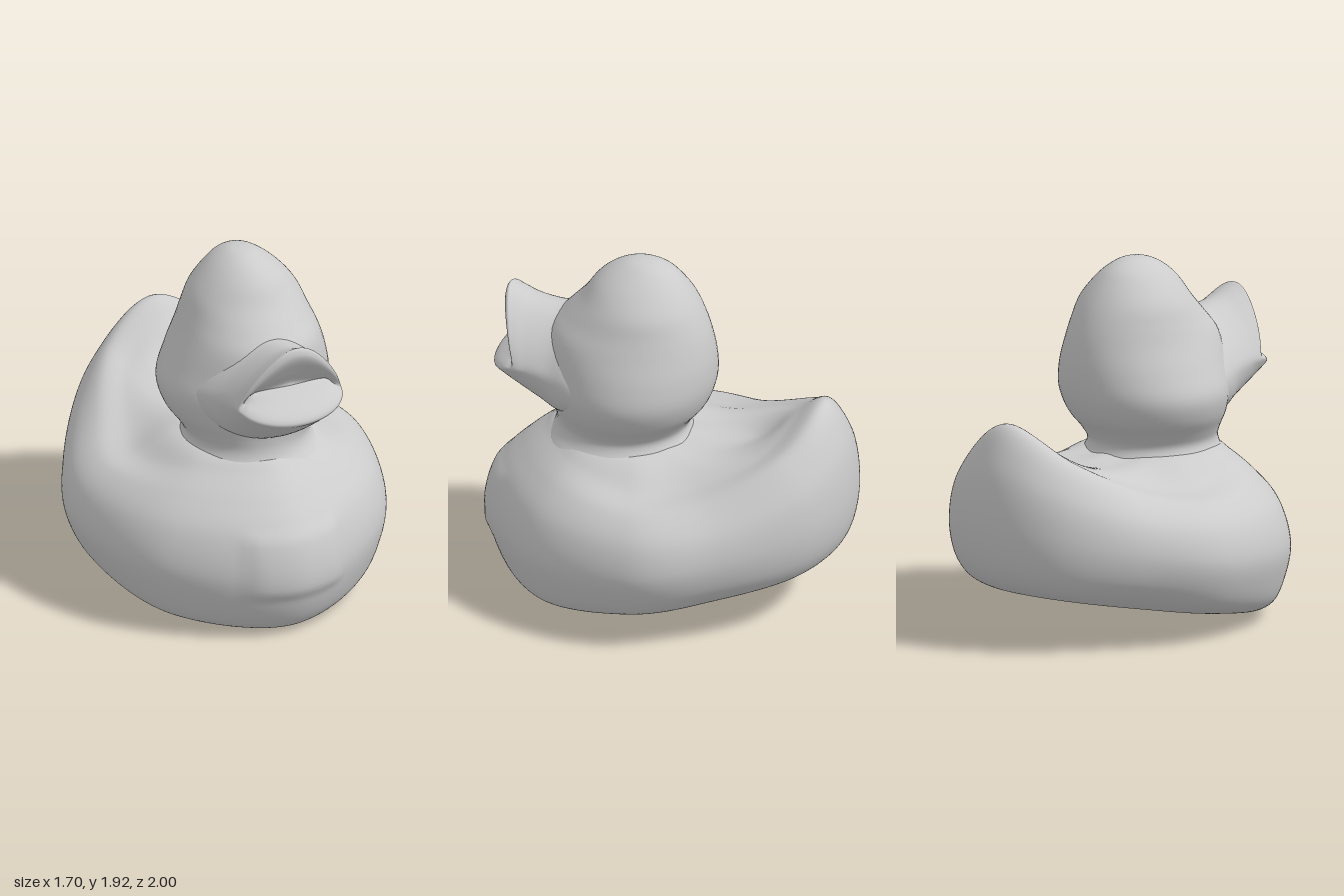
import * as THREE from 'three';

const material = new THREE.MeshStandardMaterial({ color: 0xcccccc, side: THREE.DoubleSide });

// Smooth skin through a stack of closed rings; each ring is an array of Vector3
function loft(name, rings, around, along) {
  const ringCurves = rings.map(r => new THREE.CatmullRomCurve3(r, true, 'catmullrom', 0.5));
  const positions = [], index = [];
  for (let i = 0; i < around; i++) {
    const rib = new THREE.CatmullRomCurve3(ringCurves.map(c => c.getPoint(i / around)));
    for (let j = 0; j <= along; j++) positions.push(...rib.getPoint(j / along).toArray());
  }
  const n = along + 1;
  for (let i = 0; i < around; i++) {
    const a = i * n, b = ((i + 1) % around) * n;
    for (let j = 0; j < along; j++) {
      index.push(a + j, a + j + 1, b + j, b + j, a + j + 1, b + j + 1);
    }
  }
  const geometry = new THREE.BufferGeometry();
  geometry.setAttribute('position', new THREE.Float32BufferAttribute(positions, 3));
  geometry.setIndex(index);
  geometry.computeVertexNormals();
  const mesh = new THREE.Mesh(geometry, material);
  mesh.name = name;
  return mesh;
}

// Sloping underside
const baseY = z => Math.max(0.004, (0.78 - z) * 0.184);

// Body ribs from front to back: outline point in plan, reach of the flat base,
// then [fraction of the outline, height] from the lower bulge over the rim to the neck
const ribs = [
  { x: 0, z: 0.98, base: 0.78,
    p: [[0.88, 0.045], [0.96, 0.17], [1, 0.36], [0.92, 0.6], [0.76, 0.74], [0.61, 0.84], [0.49, 0.91]] },
  { x: 0.63, z: 0.62, base: 0.8,
    p: [[0.9, 0.1], [0.97, 0.24], [1, 0.41], [0.92, 0.61], [0.76, 0.75], [0.6, 0.84], [0.46, 0.91]] },
  { x: 0.85, z: 0, base: 0.76,
    p: [[0.88, 0.2], [0.965, 0.32], [1, 0.46], [0.94, 0.63], [0.8, 0.74], [0.61, 0.79], [0.4, 0.9]] },
  { x: 0.69, z: -0.48, base: 0.77,
    p: [[0.88, 0.28], [0.965, 0.38], [1, 0.54], [0.95, 0.7], [0.81, 0.805], [0.62, 0.82], [0.37, 0.9]] },
  { x: 0.39, z: -0.87, base: 0.81,
    p: [[0.9, 0.33], [0.97, 0.44], [1, 0.64], [0.96, 0.87], [0.85, 1.01], [0.7, 0.955], [0.42, 0.89]] },
  { x: 0, z: -1, base: 0.84,
    p: [[0.92, 0.36], [0.975, 0.47], [1, 0.7], [0.96, 1.0], [0.86, 1.19], [0.73, 1.09], [0.54, 0.91]] },
];

function makeBody() {
  const mirrored = ribs.slice(1, -1).map(r => ({ ...r, x: -r.x }));
  const all = [ribs[0], ...mirrored, ribs[5], ...ribs.slice(1, -1).reverse()];
  const at = (r, s, cz, y) => {
    const z = cz + (r.z - cz) * s;
    return new THREE.Vector3(r.x * s, y ?? baseY(z), z);
  };
  const rings = [
    all.map(r => at(r, 0, -0.02, 0.18)),       // dimple in the underside
    all.map(r => at(r, 0.08, -0.02)),
    all.map(r => at(r, 0.14, -0.02)),
    all.map(r => at(r, r.base * 0.9, -0.02)),
    all.map(r => at(r, r.base, -0.02)),
  ];
  for (let k = 0; k < 7; k++) {
    rings.push(all.map(r => at(r, r.p[k][0], k < 3 ? -0.02 : 0.22, r.p[k][1])));
  }
  rings.push(all.map(r => at(r, 0, 0.22, 0.95)));
  const body = loft('body', rings, 160, 108);

  // Softly raised chest panel
  const pos = body.geometry.attributes.position;
  const step = THREE.MathUtils.smoothstep;
  for (let i = 0; i < pos.count; i++) {
    if (pos.getZ(i) < 0.5) continue;
    const inX = 1 - step(Math.abs(pos.getX(i)), 0.22, 0.3);
    const inY = 1 - step(Math.abs(pos.getY(i) - 0.44), 0.13, 0.21);
    pos.setZ(i, pos.getZ(i) + 0.02 * inX * inY);
  }
  body.geometry.computeVertexNormals();
  return body;
}

// Head levels: height, centre x, half width, back z, front z
const headLevels = [
  [0.84, 0.02, 0.4, -0.17, 0.65], [0.9, 0.02, 0.345, -0.115, 0.615], [0.95, 0.02, 0.33, -0.1, 0.603],
  [1.01, 0.02, 0.36, -0.13, 0.605], [1.1, 0.02, 0.42, -0.2, 0.62], [1.22, 0.025, 0.455, -0.243, 0.63],
  [1.36, 0.04, 0.42, -0.25, 0.64], [1.5, 0.048, 0.365, -0.23, 0.63], [1.6, 0.048, 0.325, -0.2, 0.55],
  [1.7, 0.048, 0.285, -0.155, 0.46], [1.8, 0.045, 0.21, -0.09, 0.39], [1.87, 0.04, 0.135, -0.025, 0.31],
  [1.912, 0.04, 0.065, 0.06, 0.22], [1.922, 0.04, 0, 0.14, 0.14],
];

function makeHead() {
  const rings = headLevels.map(([y, x, w, back, front]) =>
    Array.from({ length: 16 }, (_, i) => {
      const a = i / 16 * Math.PI * 2;
      return new THREE.Vector3(x + w * Math.cos(a), y,
        (back + front) / 2 + (front - back) / 2 * Math.sin(a));
    }));
  return loft('head', rings, 64, 60);
}

// Open bill, flaring out of the cheeks to the lips and back into the mouth:
// half width, corner y and z, top y and z, bottom y and z
const billSections = [
  [0.405, 1.26, 0.34, 1.57, 0.44, 1.02, 0.48],
  [0.37, 1.28, 0.45, 1.575, 0.54, 1.01, 0.57],
  [0.32, 1.3, 0.57, 1.58, 0.62, 1.05, 0.66],
  [0.3, 1.32, 0.69, 1.605, 0.74, 1.125, 0.78],
  [0.3, 1.325, 0.75, 1.645, 0.83, 1.21, 0.89],
  [0.295, 1.33, 0.77, 1.66, 0.865, 1.245, 0.93],
  [0.275, 1.345, 0.77, 1.615, 0.88, 1.275, 0.92],
  [0.25, 1.36, 0.755, 1.5, 0.82, 1.34, 0.84],
  [0.22, 1.385, 0.75, 1.42, 0.77, 1.38, 0.79],
  [0, 1.4, 0.77, 1.4, 0.77, 1.4, 0.77],
];

// The upper half is pinched into a pointed arch, the lower half stays round
function makeBill() {
  const rings = billSections.map(([w, cy, cz, ty, tz, by, bz]) =>
    Array.from({ length: 24 }, (_, i) => {
      const a = i / 24 * Math.PI * 2, s = -Math.sin(a), k = Math.abs(s);
      const [y, z, pinch] = s > 0 ? [ty, tz, 0.35] : [by, bz, 0];
      return new THREE.Vector3(0.03 + w * Math.cos(a) * (1 - pinch * k),
        cy + (y - cy) * k, cz + (z - cz) * k);
    }));
  return loft('bill', rings, 72, 48);
}

export function createModel() {
  const duck = new THREE.Group();
  duck.name = 'bathDuck';
  duck.add(makeBody(), makeHead(), makeBill());
  return duck;
}
